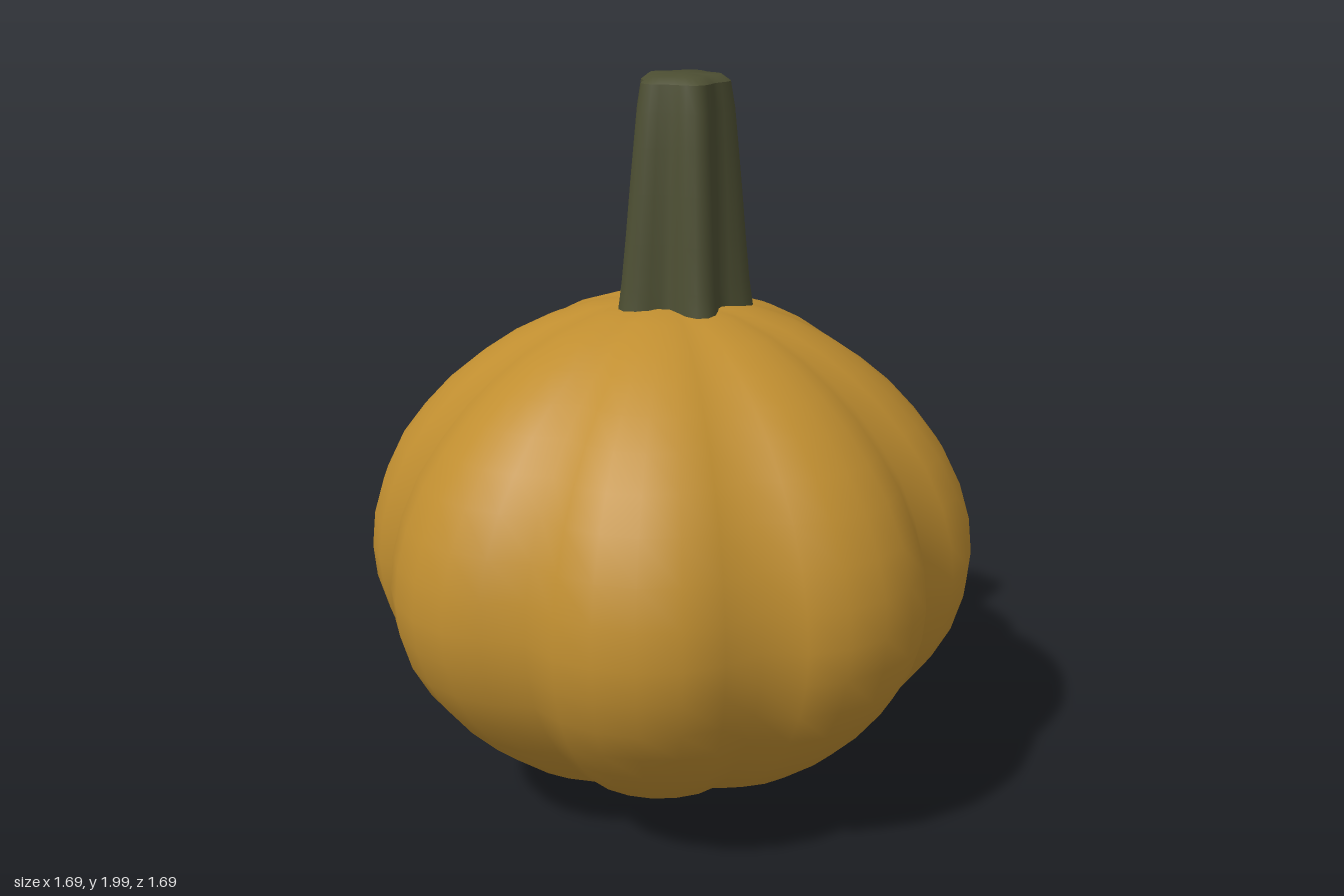
import * as THREE from 'three';

// Closed skin over stacked rings; each ring is [radius, y], radius 0 makes a pole.
// shape(angle, ringIndex) scales the radius around the ring.
function loft(rings, segments, shape, centreX = () => 0) {
  const positions = [], index = [], starts = [];
  rings.forEach(([r, y], i) => {
    starts.push(positions.length / 3);
    const count = r === 0 ? 1 : segments;
    for (let j = 0; j < count; j++) {
      const a = (j / segments) * Math.PI * 2;
      const k = r * shape(a, i);
      positions.push(centreX(y) + k * Math.cos(a), y, -k * Math.sin(a));
    }
  });
  for (let i = 0; i < rings.length - 1; i++) {
    const low = rings[i][0] === 0, high = rings[i + 1][0] === 0;
    for (let j = 0; j < segments; j++) {
      const n = (j + 1) % segments;
      const a = starts[i] + (low ? 0 : j), b = starts[i] + (low ? 0 : n);
      const c = starts[i + 1] + (high ? 0 : j), d = starts[i + 1] + (high ? 0 : n);
      if (!low) index.push(a, b, c);
      if (!high) index.push(b, d, c);
    }
  }
  const geometry = new THREE.BufferGeometry();
  geometry.setAttribute('position', new THREE.Float32BufferAttribute(positions, 3));
  geometry.setIndex(index);
  geometry.computeVertexNormals();
  return geometry;
}

export function createModel() {
  const group = new THREE.Group();
  const orange = new THREE.MeshStandardMaterial({ color: 0xc08e30 });
  orange.name = 'pumpkin orange';
  const green = new THREE.MeshStandardMaterial({ color: 0x4c4e32 });
  green.name = 'stem green';

  const add = (name, geometry, material) => {
    const mesh = new THREE.Mesh(geometry, material);
    mesh.name = name;
    group.add(mesh);
  };

  // Body: eight rounded ribs with narrow grooves between them
  const bodyRings = [
    [0, 0.01], [0.1, 0.01], [0.2, 0.03], [0.34, 0.08], [0.49, 0.16], [0.6, 0.245],
    [0.68, 0.325], [0.755, 0.42], [0.805, 0.51], [0.835, 0.61], [0.843, 0.7],
    [0.832, 0.8], [0.802, 0.9], [0.75, 1.005], [0.685, 1.09], [0.61, 1.17],
    [0.53, 1.235], [0.44, 1.295], [0.34, 1.345], [0.22, 1.385], [0.11, 1.4], [0, 1.39],
  ];
  const rib = (a) => 0.9 + 0.1 * Math.pow(Math.abs(Math.cos(4 * a)), 0.75);
  add('body', loft(bodyRings, 48, rib), orange);

  // Stem: five-ridged star section, tapering upwards
  const stemRings = [
    [0.2, 1.375], [0.188, 1.45], [0.175, 1.57], [0.162, 1.7],
    [0.149, 1.82], [0.139, 1.91], [0.126, 1.98],
  ];
  const phase = THREE.MathUtils.degToRad(33);
  const ridge = (a, i) => {
    const depth = 0.34 - 0.025 * i;
    return 1 - depth * (0.5 - 0.5 * Math.cos(5 * (a - phase)));
  };
  const lean = (y) => 0.038 + 0.012 * (y - 1.375);
  add('stem', loft(stemRings, 40, ridge, lean), green);

  // Cut end of the stem, and its hidden underside
  const last = stemRings.length - 1;
  add('stemTop', loft([stemRings[last], [0.1, 1.998], [0, 2]], 40,
    (a) => ridge(a, last), lean), green);
  add('stemBase', loft([[0, 1.375], stemRings[0]], 40, (a) => ridge(a, 0), lean), green);

  // Rest the lowest point on the ground
  const box = new THREE.Box3().setFromObject(group);
  group.position.y = -box.min.y;
  return group;
}
